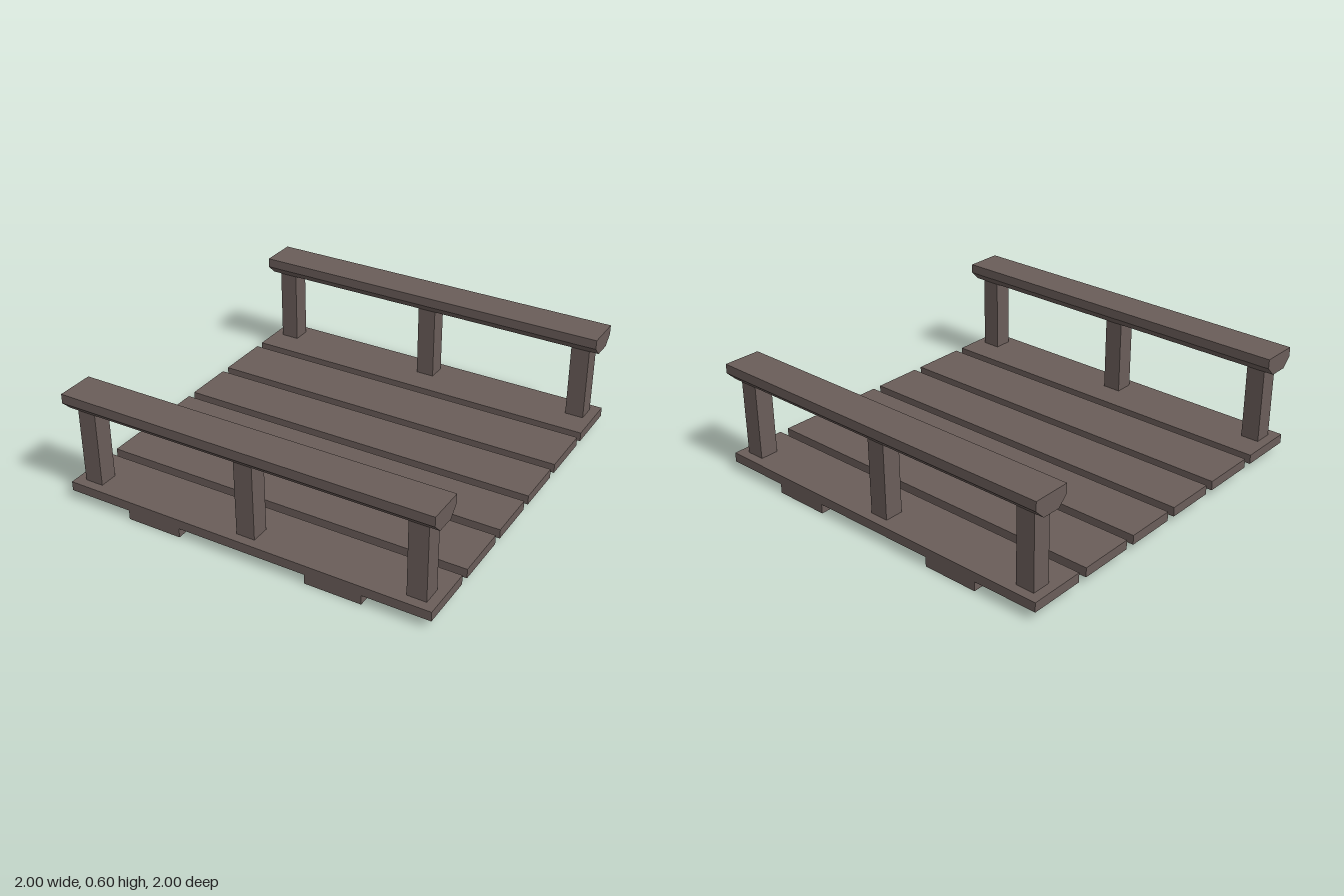
import * as THREE from 'three';

export function createModel() {
  const model = new THREE.Group();
  const wood = new THREE.MeshStandardMaterial({ color: 0x6a5d59, flatShading: true });

  const add = (name, geometry, x, y, z) => {
    const mesh = new THREE.Mesh(geometry, wood);
    mesh.name = name;
    mesh.position.set(x, y, z);
    model.add(mesh);
  };

  // Two support beams under the deck, running front to back
  for (const x of [-0.5, 0.5]) {
    add('supportBeam', new THREE.BoxGeometry(0.3, 0.05, 2), x, 0.025, 0);
  }

  // Deck planks, mirrored about the middle gap: [inner z, outer z]
  for (const side of [-1, 1]) {
    for (const [inner, outer] of [[0.025, 0.3], [0.35, 0.65], [0.7, 1]]) {
      add('deckPlank', new THREE.BoxGeometry(2, 0.05, outer - inner), 0, 0.075, side * (inner + outer) / 2);
    }
  }

  // Handrail section: flat top with a chamfered underside
  const section = new THREE.Shape([
    [-0.05, 0], [0.05, 0], [0.1, 0.05], [0.1, 0.1], [-0.1, 0.1], [-0.1, 0.05],
  ].map(([x, y]) => new THREE.Vector2(x, y)));
  const railGeometry = new THREE.ExtrudeGeometry(section, { depth: 2, bevelEnabled: false });
  railGeometry.translate(0, 0, -1).rotateY(Math.PI / 2);

  // Railings along the front and back edges
  for (const z of [-0.9, 0.9]) {
    for (const x of [-0.9, 0, 0.9]) {
      add('railPost', new THREE.BoxGeometry(0.1, 0.4, 0.1), x, 0.3, z);
    }
    add('handrail', railGeometry, 0, 0.5, z);
  }

  return model;
}
